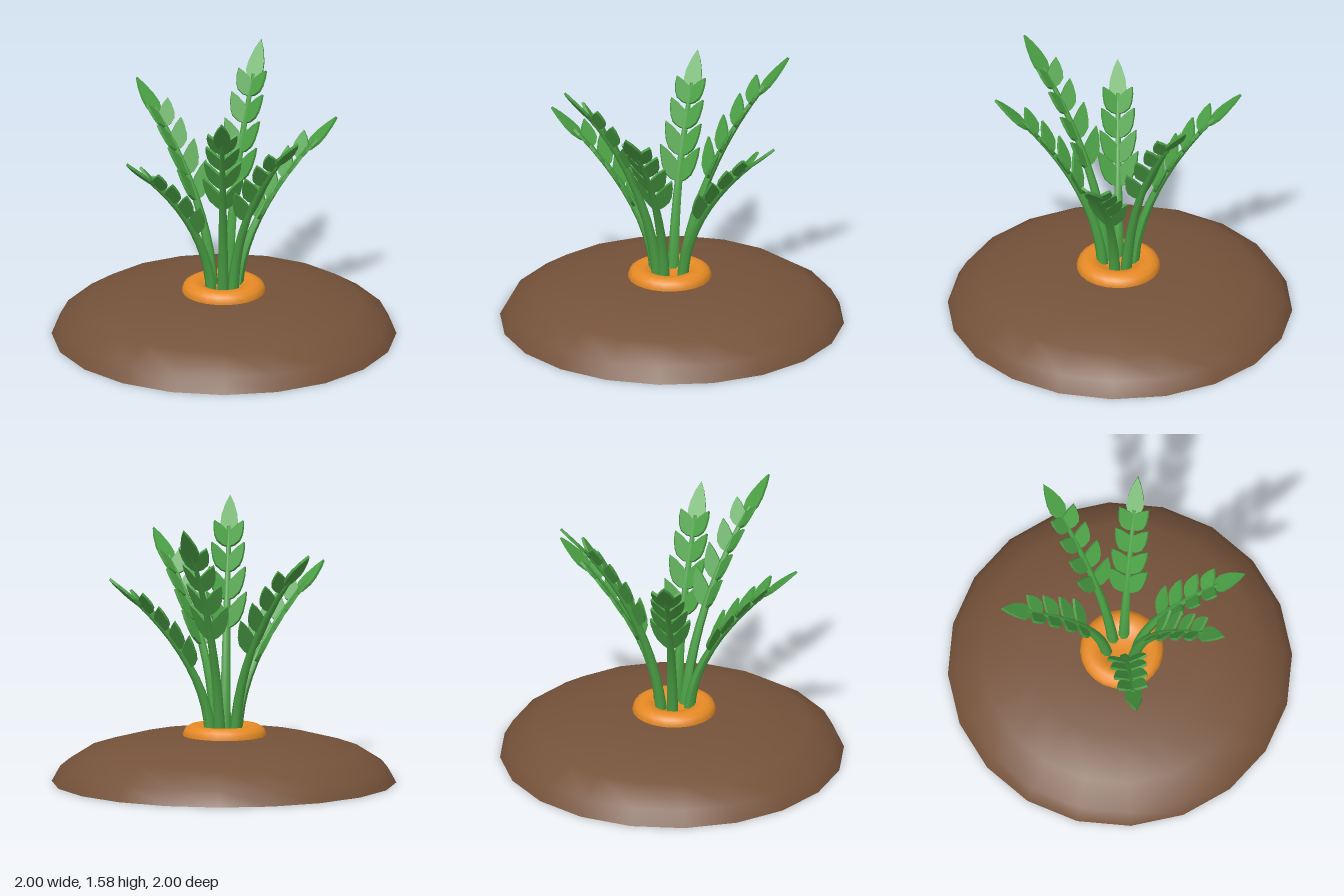
import * as THREE from 'three';

const mat = (name, color, side = THREE.FrontSide) => {
  const m = new THREE.MeshStandardMaterial({ color, side });
  m.name = name;
  return m;
};

export function createModel() {
  const soil = mat('soil brown', 0x75523a);
  const orange = mat('carrot orange', 0xe68a25);
  const green = mat('leaf green', 0x4a9f44, THREE.DoubleSide);
  const model = new THREE.Group();
  model.name = 'plantedCarrot';

  const add = (parent, name, geometry, material) => {
    const mesh = new THREE.Mesh(geometry, material);
    mesh.name = name;
    parent.add(mesh);
    return mesh;
  };
  const lathe = (points, sides) =>
    new THREE.LatheGeometry(points.map(([r, y]) => new THREE.Vector2(r, y)), sides);

  // Low dome of soil with a flat underside
  add(model, 'soilMound', lathe([[1, 0], [0.95, 0.09], [0.8, 0.185], [0.54, 0.255], [0.25, 0.272], [0, 0.275]], 20), soil);
  add(model, 'soilUnderside', new THREE.CircleGeometry(1, 20).rotateX(Math.PI / 2), soil);

  const plant = new THREE.Group();
  plant.name = 'carrot';
  plant.position.set(-0.01, 0, 0.01);
  model.add(plant);

  // Carrot shoulder with a shallow dimple
  add(plant, 'carrotCrown', lathe([[0.24, 0.23], [0.243, 0.28], [0.23, 0.312], [0.2, 0.33], [0.165, 0.333],
    [0.13, 0.322], [0.1, 0.3], [0.06, 0.29], [0, 0.288]], 24), orange);

  // Pointed leaf plate of unit length along +y, facing z
  const outline = new THREE.Shape();
  outline.moveTo(0, 0);
  [[0.14, 0.14], [0.22, 0.34], [0.2, 0.54], [0.11, 0.8], [0, 1], [-0.11, 0.8], [-0.2, 0.54], [-0.22, 0.34], [-0.14, 0.14]]
    .forEach(([x, y]) => outline.lineTo(x, y));
  outline.closePath();
  const leafGeometry = new THREE.ExtrudeGeometry(outline, { depth: 0.016, bevelEnabled: false }).translate(0, 0, -0.008);

  const addLeaf = (parent, name, base, direction, facing, length, width) => {
    const y = direction.clone().normalize();
    const x = new THREE.Vector3().crossVectors(y, facing).normalize();
    const z = new THREE.Vector3().crossVectors(x, y);
    const leaf = add(parent, name, leafGeometry, green);
    leaf.quaternion.setFromRotationMatrix(new THREE.Matrix4().makeBasis(x, y, z));
    leaf.position.copy(base);
    leaf.scale.set(width, length, 1);
  };

  // Each frond bends outward along +x, then turns to its heading
  const side = new THREE.Vector3(0, 0, 1);
  const addFrond = (heading, [r0, r1, y1, r2, y2]) => {
    const frond = new THREE.Group();
    frond.name = 'frond';
    frond.rotation.y = -THREE.MathUtils.degToRad(heading);
    plant.add(frond);
    const tip = new THREE.Vector3(r2, y2, 0);
    const curve = new THREE.QuadraticBezierCurve3(
      new THREE.Vector3(r0, 0.28, 0), new THREE.Vector3(r1, y1, 0), tip);

    // Tapered stem: cross-section rings shrink along the curve
    const stem = new THREE.CylinderGeometry(1, 1, 1, 7, 10);
    const p = stem.attributes.position;
    for (let i = 0; i < p.count; i++) {
      const t = (p.getY(i) + 0.5) * 0.86;
      const c = curve.getPoint(t), d = curve.getTangent(t);
      const radius = 0.034 - 0.026 * t;
      const u = p.getX(i) * radius, w = p.getZ(i) * radius;
      p.setXYZ(i, c.x + d.y * u, c.y - d.x * u, w);
    }
    stem.computeVertexNormals();
    add(frond, 'stem', stem, green);

    // Four leaf pairs, angled up in a V
    [0.42, 0.54, 0.66, 0.77].forEach((t, i) => {
      const base = curve.getPoint(t), along = curve.getTangent(t);
      const up = new THREE.Vector3(-along.y, along.x, 0);
      const length = 0.245 - 0.022 * i;
      for (const s of [-1, 1]) {
        const direction = along.clone().multiplyScalar(0.85).addScaledVector(side, 0.47 * s).addScaledVector(up, 0.22);
        const facing = up.clone().addScaledVector(side, -0.5 * s);
        addLeaf(frond, 'sideLeaf', base, direction, facing, length, 0.22);
      }
    });

    // Leaf at the end of the stem
    const end = curve.getPoint(0.81);
    const direction = tip.clone().sub(end);
    addLeaf(frond, 'tipLeaf', end, direction, new THREE.Vector3(-direction.y, direction.x, 0), direction.length(), 0.23);
  };

  // Opposite fronds share one height
  const low = [0.09, 0.12, 0.75, 0.725, 1.23];
  const middle = [0.09, 0.13, 0.88, 0.715, 1.4];
  const tall = [0.08, 0.16, 1.0, 0.71, 1.57];
  [[-99, middle], [-36, tall], [11, low], [89, middle], [127, tall], [177, low]]
    .forEach(([heading, bend]) => addFrond(heading, bend));

  return model;
}
